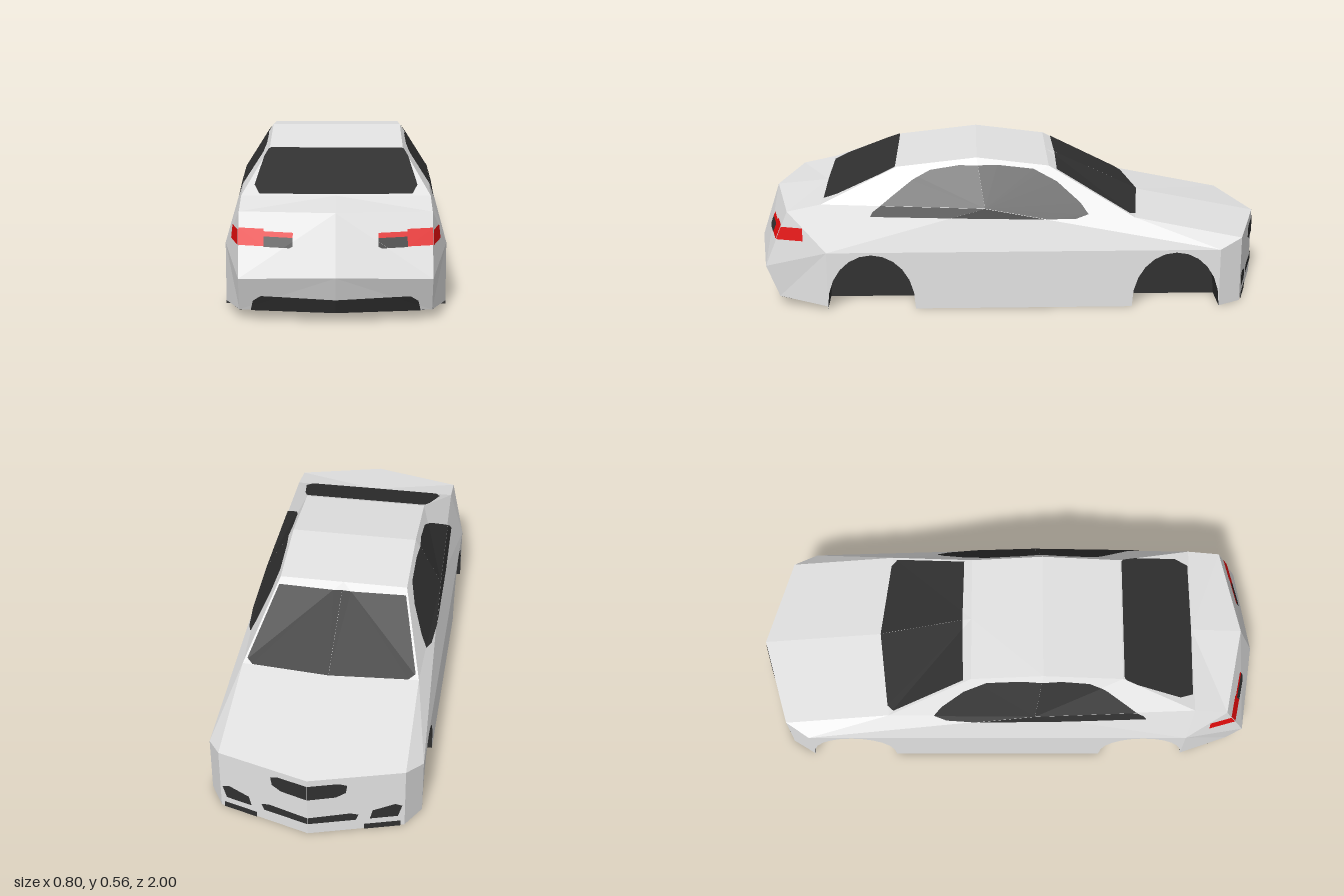
import * as THREE from 'three';

// Car body shell without wheels; the tail faces +z, the nose faces -z.
const V = (x, y, z) => new THREE.Vector3(x, y, z);
const CENTRE = V(0, 0.15, 0);

const bodyPaint = new THREE.MeshStandardMaterial({ color: 0xe2e2e2 });
bodyPaint.name = 'bodyPaint';
const darkTrim = new THREE.MeshStandardMaterial({ color: 0x303030, side: THREE.DoubleSide });
darkTrim.name = 'darkTrim';
const tailRed = new THREE.MeshStandardMaterial({ color: 0xe60c0c });
tailRed.name = 'tailRed';

// Triangle turned so that it faces away from the middle of the car
function outward(a, b, c) {
  const n = V(0, 0, 0).crossVectors(b.clone().sub(a), c.clone().sub(a));
  const mid = a.clone().add(b).add(c).divideScalar(3).sub(CENTRE);
  return n.dot(mid) < 0 ? [a, c, b] : [a, b, c];
}

// Fan of triangles from a list of corners
function fan(...p) {
  const tris = [];
  for (let i = 1; i < p.length - 1; i++) tris.push(outward(p[0], p[i], p[i + 1]));
  return tris;
}

// Triangles of a flat outline, placed in space by a rule
function sheet(points, place) {
  const pts = points.map(([u, v]) => new THREE.Vector2(u, v));
  return THREE.ShapeUtils.triangulateShape(pts, []).map(
    (f) => outward(...f.map((i) => place(pts[i].x, pts[i].y))));
}

// Mesh from triangles of the +x half plus their mirror image
function mirrored(name, tris, material) {
  const pos = [];
  for (const [a, b, c] of tris) {
    for (const p of [a, b, c]) pos.push(p.x, p.y, p.z);
    for (const p of [a, c, b]) pos.push(-p.x, p.y, p.z);
  }
  const g = new THREE.BufferGeometry();
  g.setAttribute('position', new THREE.Float32BufferAttribute(pos, 3));
  g.computeVertexNormals();
  const mesh = new THREE.Mesh(g, material);
  mesh.name = name;
  return mesh;
}

// Thin plate: clips the given triangles to a convex outline seen along an axis
function plate(tris, outline, u, v, lift = 0.003) {
  const area = outline.reduce((s, p, i) => {
    const q = outline[(i + 1) % outline.length];
    return s + p[0] * q[1] - q[0] * p[1];
  }, 0);
  const edges = area < 0 ? [...outline].reverse() : outline;
  const out = [];
  for (const tri of tris) {
    const n = new THREE.Triangle(...tri).getNormal(V(0, 0, 0));
    let poly = tri;
    edges.forEach((a, i) => {
      const b = edges[(i + 1) % edges.length];
      const side = (p) => (b[0] - a[0]) * (p[v] - a[1]) - (b[1] - a[1]) * (p[u] - a[0]);
      const next = [];
      poly.forEach((p, k) => {
        const q = poly[(k + 1) % poly.length];
        const sp = side(p), sq = side(q);
        if (sp >= 0) next.push(p);
        if (sp * sq < 0) next.push(p.clone().lerp(q, sp / (sp - sq)));
      });
      poly = next;
    });
    const raised = poly.map((p) => p.clone().addScaledVector(n, lift));
    for (let i = 1; i < raised.length - 1; i++) out.push([raised[0], raised[i], raised[i + 1]]);
  }
  return out;
}

// Wheel arch outline as [z, y], from low z to high z
const ARCHES = [[-0.64, 'front'], [0.54, 'rear']];
function arch(cz) {
  return Array.from({ length: 13 }, (_, i) => {
    const t = Math.PI * (1 - i / 12);
    return [cz + 0.17 * Math.cos(t), 0.22 * Math.pow(Math.sin(t), 0.9) || 0];
  });
}

export function createModel() {
  const car = new THREE.Group();
  car.name = 'carBody';
  const add = (name, tris, material) => car.add(mirrored(name, tris, material));
  const mid = (p) => V(0, p.y, p.z);

  // Corner points of the +x half
  const roofFront = V(0.25, 0.53, -0.15), roofTop = V(0.25, 0.565, 0.13), roofRear = V(0.25, 0.53, 0.44);
  const screenBase = V(0.34, 0.345, -0.48), screenBaseMid = V(0, 0.357, -0.52);
  const belt = V(0.358, 0.39, 0.1), rearBase = V(0.34, 0.408, 0.73);
  const noseTop = V(0.345, 0.26, -0.9), noseTopMid = V(0, 0.262, -1);
  const noseLow = V(0.345, 0, -0.9), noseLowMid = V(0, 0, -1);
  const lip = V(0.34, 0.38, 0.86), lipMid = V(0, 0.39, 0.93);
  const bumper = V(0.34, 0.16, 0.95), bumperMid = V(0, 0.176, 1);
  const tailLow = V(0.34, 0.035, 0.9), tailLowMid = V(0, 0.038, 0.95);
  const creaseFront = V(0.4, 0.23, -0.81), creaseRear = V(0.4, 0.23, 0.71);
  const sillFront = V(0.4, 0, -0.81), sillRear = V(0.4, 0.012, 0.71);

  // Painted panels
  const panels = {
    hood: fan(screenBaseMid, screenBase, noseTop, noseTopMid),
    windscreenFrame: fan(mid(roofFront), roofFront, screenBase, screenBaseMid),
    roof: [...fan(mid(roofFront), roofFront, roofTop, mid(roofTop)),
      ...fan(mid(roofTop), roofTop, roofRear, mid(roofRear))],
    rearWindowFrame: fan(mid(roofRear), roofRear, rearBase, mid(rearBase)),
    trunkLid: fan(mid(rearBase), rearBase, lip, lipMid),
    tailPanel: fan(lipMid, lip, bumper, bumperMid),
    rearBumper: fan(bumperMid, bumper, tailLow, tailLowMid),
    nose: fan(noseTopMid, noseTop, noseLow, noseLowMid),
    cabinSide: fan(belt, screenBase, roofFront, roofTop, roofRear, rearBase),
    upperSide: [...fan(creaseFront, noseTop, screenBase, belt),
      ...fan(creaseRear, creaseFront, belt, rearBase, lip, bumper)],
    frontCorner: fan(creaseFront, noseTop, noseLow, sillFront),
    rearCorner: fan(creaseRear, bumper, tailLow, sillRear),
    lowerSide: sheet([[0.71, 0.23], [-0.81, 0.23], ...arch(-0.64), ...arch(0.54)],
      (z, y) => V(0.4, y, z)),
  };
  for (const [name, tris] of Object.entries(panels)) add(name, tris, bodyPaint);

  // Windows
  add('windscreen', plate(panels.windscreenFrame,
    [[0, -0.185], [0.25, -0.18], [0.325, -0.46], [0.3, -0.485], [0.1, -0.515], [0, -0.52]], 'x', 'z'), darkTrim);
  add('rearWindow', plate(panels.rearWindowFrame,
    [[0, 0.445], [0.245, 0.445], [0.262, 0.46], [0.295, 0.67], [0.275, 0.722], [0, 0.726]], 'x', 'z'), darkTrim);
  add('sideWindow', plate([...panels.cabinSide, ...panels.upperSide],
    [[0.54, 0.362], [0.53, 0.38], [0.46, 0.43], [0.38, 0.485], [0.31, 0.52], [0.2, 0.537], [0.05, 0.537],
      [-0.09, 0.52], [-0.18, 0.475], [-0.27, 0.4], [-0.3, 0.36], [-0.25, 0.346]], 'z', 'y'), darkTrim);

  // Tail lights, wrapping onto the sides
  const box = (u0, u1, v0, v1) => [[u0, v0], [u1, v0], [u1, v1], [u0, v1]];
  add('tailLight', [
    ...plate(panels.tailPanel, box(0.25, 0.4, 0.27, 0.327), 'x', 'y'),
    ...plate(panels.tailPanel, box(0.148, 0.25, 0.302, 0.319), 'x', 'y'),
    ...plate(panels.upperSide, box(0.8, 0.95, 0.27, 0.32), 'z', 'y'),
  ], tailRed);
  add('tailLightInsert', plate(panels.tailPanel,
    [[0.148, 0.274], [0.16, 0.268], [0.25, 0.268], [0.25, 0.302], [0.148, 0.302]], 'x', 'y'), darkTrim);

  // Bumper and nose openings
  add('rearDiffuser', plate(panels.rearBumper,
    [[0, 0.03], [0.3, 0.03], [0.29, 0.075], [0.262, 0.095], [0, 0.09]], 'x', 'y'), darkTrim);
  add('upperGrille', plate(panels.nose,
    [[0, 0.17], [0.1, 0.172], [0.135, 0.19], [0.14, 0.225], [0.11, 0.237], [0, 0.237]], 'x', 'y'), darkTrim);
  add('lowerGrille', plate(panels.nose,
    [[0, 0.05], [0.17, 0.05], [0.18, 0.075], [0.15, 0.085], [0, 0.08]], 'x', 'y'), darkTrim);
  add('foglightRecess', plate(panels.nose,
    [[0.22, 0.05], [0.32, 0.05], [0.335, 0.1], [0.31, 0.112], [0.23, 0.09]], 'x', 'y'), darkTrim);
  add('noseLip', plate(panels.nose, box(0.2, 0.33, 0, 0.025), 'x', 'y'), darkTrim);

  // Floor with notches for the wheels, rising towards the tail
  const inner = 0.26;
  const notch = (cz) => [[0.4, cz - 0.17], [inner, cz - 0.17], [inner, cz + 0.17], [0.4, cz + 0.17]];
  add('floor', sheet(
    [[0, -1], [0.345, -0.9], ...notch(-0.64), ...notch(0.54), [0.34, 0.9], [0, 0.95]],
    (x, z) => V(x, Math.max(0, (z - 0.6) * 0.115), z)), darkTrim);

  // Wheel wells: curved ceiling and inner wall
  for (const [cz, end] of ARCHES) {
    const line = arch(cz);
    const tris = sheet(line, (z, y) => V(inner, y, z));
    for (let i = 0; i < line.length - 1; i++) {
      const [[z0, y0], [z1, y1]] = [line[i], line[i + 1]];
      tris.push(...fan(V(0.4, y0, z0), V(0.4, y1, z1), V(inner, y1, z1), V(inner, y0, z0)));
    }
    add(end + 'WheelWell', tris, darkTrim);
  }
  return car;
}
